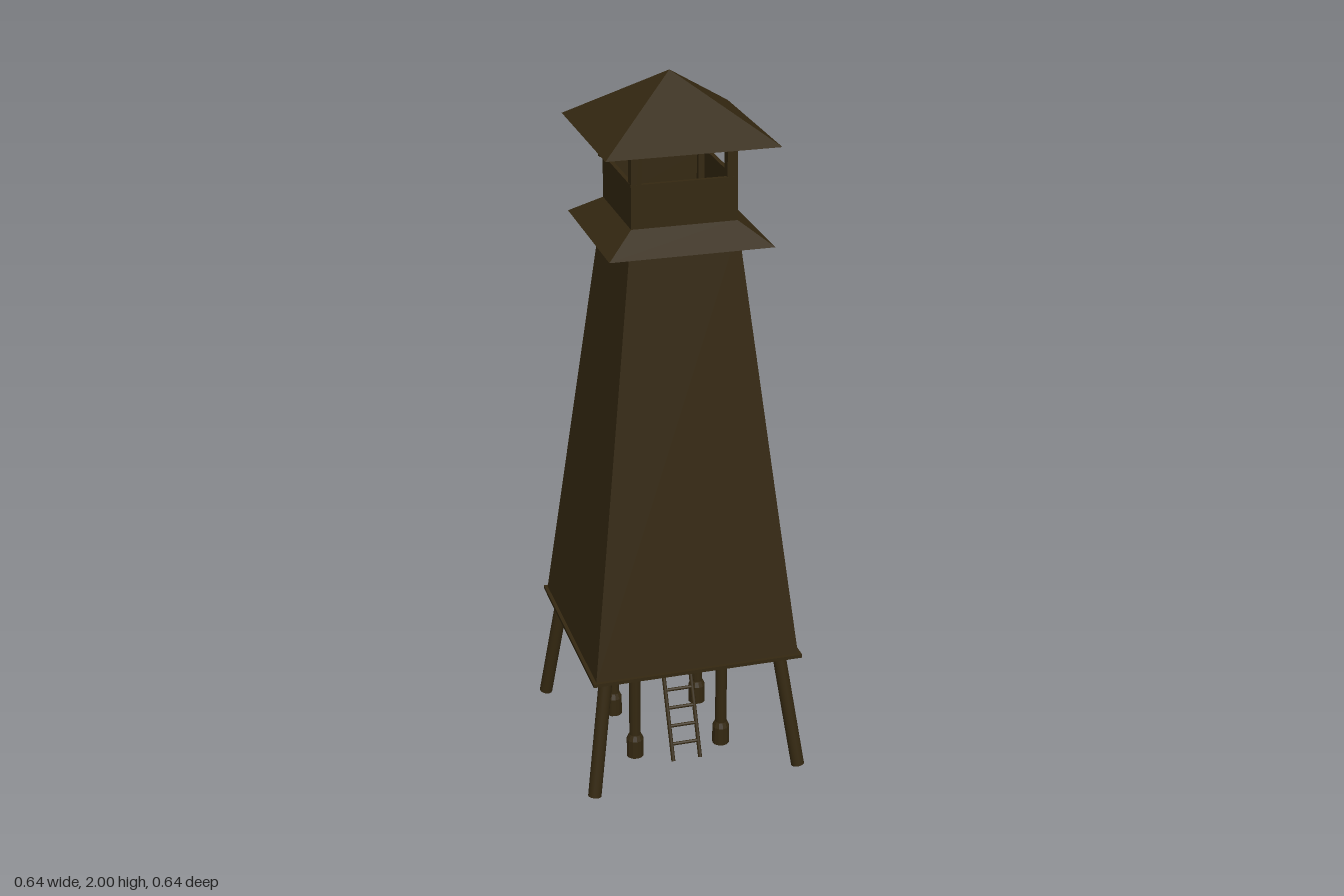
import * as THREE from 'three';

const CX = 0.007, CZ = -0.013; // axis of the tower, slightly off the legs' centre

export function createModel() {
  const root = new THREE.Group();
  root.name = 'bellTower';
  const wood = new THREE.MeshStandardMaterial({ color: 0x342811, side: THREE.DoubleSide });
  wood.name = 'dark wood';

  const add = (name, geometry, x = 0, y = 0, z = 0, parent = root) => {
    const mesh = new THREE.Mesh(geometry, wood);
    mesh.name = name;
    mesh.position.set(x, y, z);
    parent.add(mesh);
    return mesh;
  };

  // square tapered shell given by half widths and heights
  const shell = (name, low, high, y0, y1, open = true) => {
    const g = new THREE.CylinderGeometry(high * Math.SQRT2, low * Math.SQRT2, y1 - y0, 4, 1, open)
      .rotateY(Math.PI / 4).toNonIndexed();
    g.computeVertexNormals();
    return add(name, g, CX, (y0 + y1) / 2, CZ);
  };

  // round or square bar between two points
  const bar = (name, a, b, radius, sides = 12, parent = root) => {
    const from = new THREE.Vector3(...a), to = new THREE.Vector3(...b);
    const dir = to.clone().sub(from);
    const mesh = add(name, new THREE.CylinderGeometry(radius, radius, dir.length(), sides), 0, 0, 0, parent);
    mesh.position.copy(from).add(to).multiplyScalar(0.5);
    mesh.quaternion.setFromUnitVectors(new THREE.Vector3(0, 1, 0), dir.normalize());
    return mesh;
  };

  // tapered body, skirt roof and main roof
  shell('body', 0.295, 0.148, 0.36, 1.6);
  shell('skirtRoof', 0.226, 0.143, 1.563, 1.622);
  shell('mainRoof', 0.236, 0.0005, 1.838, 2.0);

  // floor slab with a ladder hatch
  const floor = new THREE.Shape();
  const square = (path, h, x, y) => {
    path.moveTo(x - h, y - h);
    path.lineTo(x + h, y - h);
    path.lineTo(x + h, y + h);
    path.lineTo(x - h, y + h);
    path.closePath();
    return path;
  };
  square(floor, 0.304, 0, 0);
  floor.holes.push(square(new THREE.Path(), 0.075, 0.01, -0.015));
  const floorGeo = new THREE.ExtrudeGeometry(floor, { depth: 0.01, bevelEnabled: false }).rotateX(-Math.PI / 2);
  add('floor', floorGeo, CX, 0.355, CZ);

  // belfry: deck, parapet, corner posts and top beams
  add('belfryDeck', new THREE.BoxGeometry(0.28, 0.01, 0.28), CX, 1.615, CZ);
  for (let i = 0; i < 4; i++) {
    const side = new THREE.Group();
    side.name = 'belfrySide';
    side.position.set(CX, 0, CZ);
    side.rotation.y = i * Math.PI / 2;
    root.add(side);
    add('parapet', new THREE.BoxGeometry(0.292, 0.14, 0.012), 0, 1.67, 0.14, side);
    add('cornerPost', new THREE.BoxGeometry(0.028, 0.26, 0.028), 0.131, 1.73, 0.131, side);
    add('topBeam', new THREE.BoxGeometry(0.26, 0.02, 0.02), 0, 1.85, 0.131, side);
  }

  // bell hung under the eaves on the right side
  const bellProfile = [[0.029, 0], [0.027, 0.012], [0.026, 0.03], [0.021, 0.044], [0.011, 0.053], [0, 0.056]]
    .map(([r, y]) => new THREE.Vector2(r, y));
  add('bell', new THREE.LatheGeometry(bellProfile, 20), -0.162, 1.786, 0);
  bar('bellArm', [-0.17, 1.845, 0], [-0.12, 1.845, 0], 0.006, 8);

  // splayed outer legs and upright inner posts with footings
  for (const sx of [-1, 1]) {
    for (const sz of [-1, 1]) {
      bar('outerLeg', [sx * 0.302, 0.012, sz * 0.302], [sx * 0.251, 0.375, sz * 0.251], 0.019, 16);
      const x = sx * 0.13 - 0.005, z = sz * 0.122;
      bar('innerPost', [x, 0.05, z], [x, 0.36, z], 0.017);
      const footing = [[0, 0], [0.025, 0], [0.025, 0.055], [0.018, 0.071], [0, 0.071]]
        .map(([r, y]) => new THREE.Vector2(r, y));
      const g = new THREE.LatheGeometry(footing, 12).toNonIndexed();
      g.computeVertexNormals();
      add('footing', g, x, 0.01, z);
    }
  }

  // leaning ladder
  const ladder = new THREE.Group();
  ladder.name = 'ladder';
  root.add(ladder);
  const zAt = (y) => 0.178 - 0.45 * y;
  for (const x of [-0.035, 0.046]) {
    bar('ladderRail', [x, 0.003, zAt(0.003)], [x, 0.362, zAt(0.362)], 0.006, 8, ladder);
  }
  for (let i = 1; i <= 7; i++) {
    const y = i * 0.0478;
    bar('ladderRung', [-0.035, y, zAt(y)], [0.046, y, zAt(y)], 0.005, 8, ladder);
  }
  return root;
}
